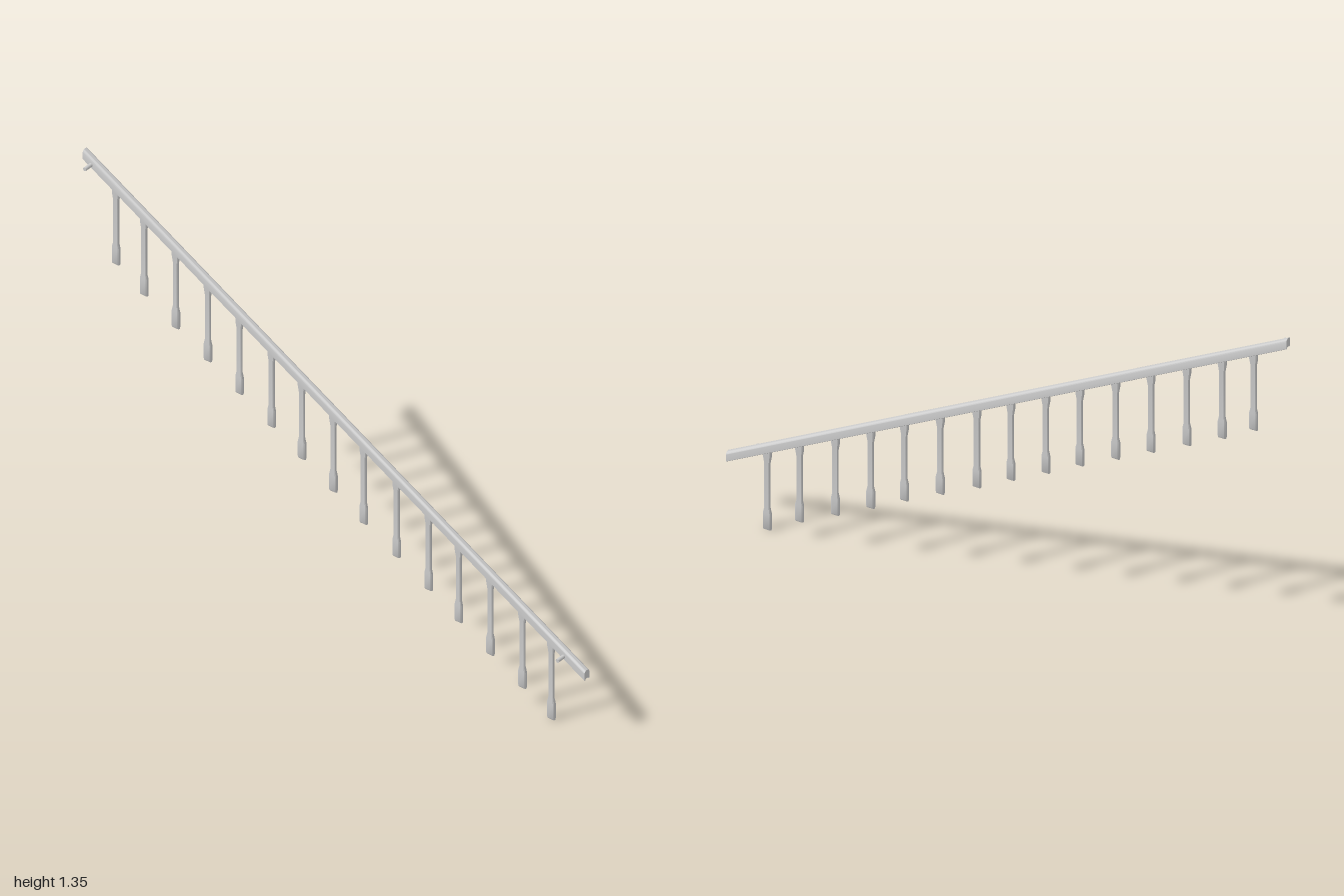
import * as THREE from 'three';
import { toCreasedNormals } from 'three/addons/utils/BufferGeometryUtils.js';

const SLOPE = 0.552;       // rise of the rail towards the back
const RAIL_X = 0.0155;     // centre line of the rail
const BALUSTER_X = 0.0165; // centre line of the balusters
const railBottom = z => 0.765 - SLOPE * z;
const material = new THREE.MeshStandardMaterial({ color: 0xcccccc });

function part(name, geometry) {
  const mesh = new THREE.Mesh(geometry, material);
  mesh.name = name;
  return mesh;
}

// Round-topped handrail grooved underneath, sheared so its ends stay vertical
function handrail() {
  const w = 0.0125, h = 0.036, c = 0.0015, groove = 0.008, deep = 0.005;
  const s = new THREE.Shape();
  s.moveTo(-w + c, 0);
  s.lineTo(-groove, 0);
  s.lineTo(-groove, deep);
  s.lineTo(groove, deep);
  s.lineTo(groove, 0);
  s.lineTo(w - c, 0);
  s.lineTo(w, c);
  s.lineTo(w, h - 0.012);
  s.bezierCurveTo(w, h - 0.004, w * 0.6, h, 0, h);
  s.bezierCurveTo(-w * 0.6, h, -w, h - 0.004, -w, h - 0.012);
  s.lineTo(-w, c);
  s.closePath();
  const g = new THREE.ExtrudeGeometry(s, { depth: 2, bevelEnabled: false, curveSegments: 10 });
  g.translate(RAIL_X, 0, -1);
  const p = g.attributes.position;
  for (let i = 0; i < p.count; i++) p.setY(i, p.getY(i) + railBottom(p.getZ(i)));
  return part('handrail', toCreasedNormals(g, 0.5));
}

// Chamfered flat baluster: broad foot, straight shaft, head flaring into the rail
function baluster(z, bottom) {
  const top = railBottom(z) + 0.008;
  // height, half width in x, half depth in z
  const sections = [
    [bottom, 0.004, 0.014],
    [bottom + 0.006, 0.007, 0.014],
    [bottom + 0.062, 0.007, 0.014],
    [bottom + 0.082, 0.0055, 0.0098],
    [top - 0.048, 0.0055, 0.0098],
    [top - 0.022, 0.007, 0.014],
    [top, 0.007, 0.014],
  ];
  const n = sections.length - 1;
  const outline = [[1, 0.78], [0.6, 1], [-0.6, 1], [-1, 0.78],
    [-1, -0.78], [-0.6, -1], [0.6, -1], [1, -0.78]];
  const g = new THREE.CylinderGeometry(1, 1, n, 8, n);
  const p = g.attributes.position;
  for (let i = 0; i < p.count; i++) {
    const [y, hx, hz] = sections[Math.round(p.getY(i) + n / 2)];
    // the eight corners run from +z towards +x, cap centres stay in the middle
    const middle = Math.hypot(p.getX(i), p.getZ(i)) < 0.5;
    const turn = Math.round(Math.atan2(p.getX(i), p.getZ(i)) / (Math.PI / 4));
    const [ox, oz] = middle ? [0, 0] : outline[(9 - turn) % 8];
    p.setXYZ(i, BALUSTER_X + ox * hx, y, z + oz * hz);
  }
  return part('baluster', toCreasedNormals(g, 0.5));
}

// Short round peg that fixes the rail to the wall
function wallPeg(z) {
  const g = new THREE.CylinderGeometry(0.0065, 0.0065, 0.036, 14);
  g.rotateZ(Math.PI / 2);
  const peg = part('wallPeg', g);
  peg.position.set(-0.01, railBottom(z) + 0.012, z);
  return peg;
}

export function createModel() {
  const model = new THREE.Group();
  model.name = 'stairRailing';
  model.add(handrail());

  const spots = [0.858, 0.743, 0.615, 0.489, 0.369, 0.241, 0.11, -0.011,
    -0.136, -0.257, -0.385, -0.511, -0.639, -0.765, -0.877];
  spots.forEach((z, i) => model.add(baluster(z, i * 0.069)));

  for (const z of [0.917, -0.967]) model.add(wallPeg(z));
  return model;
}
